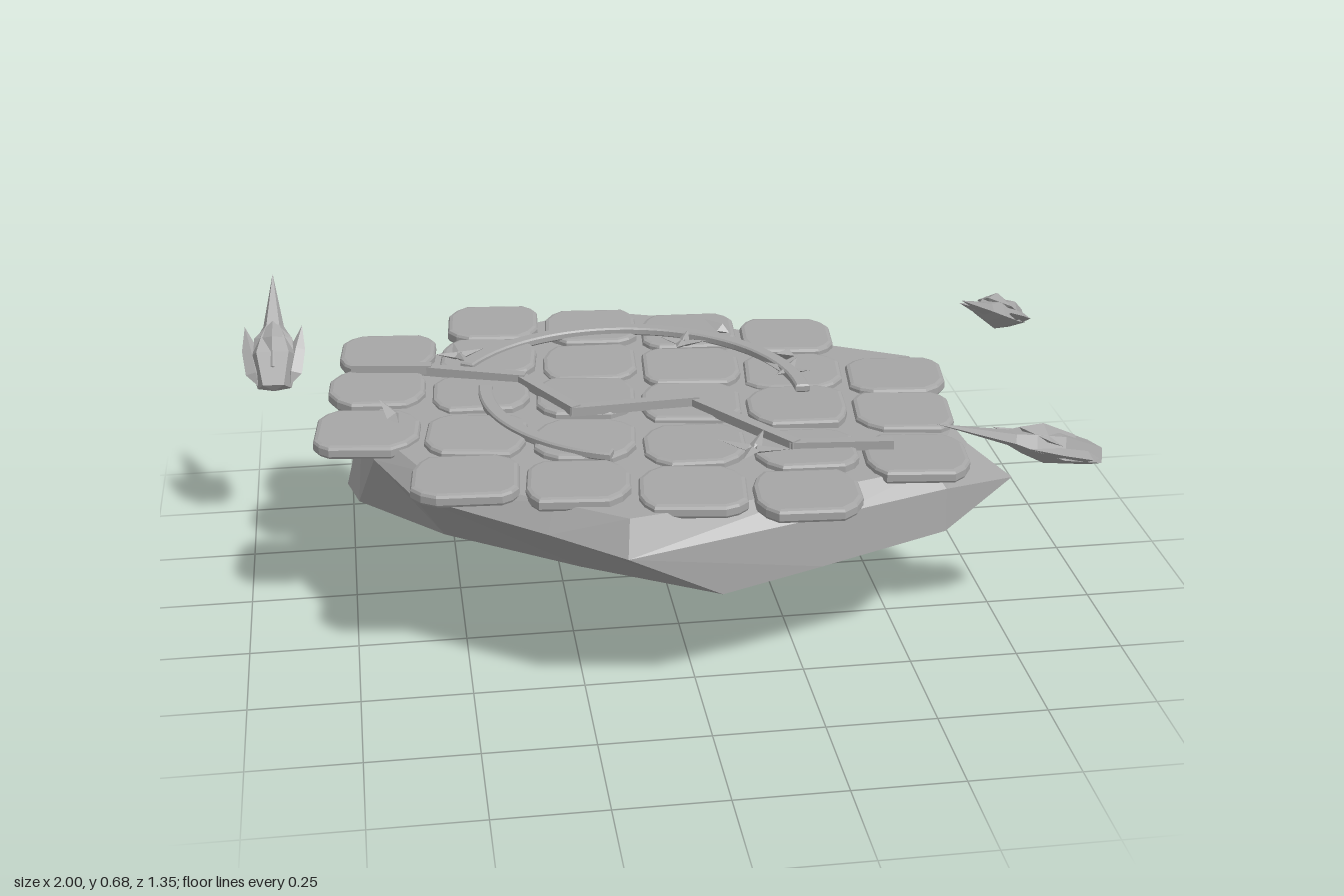
import * as THREE from 'three';

const stone = new THREE.MeshStandardMaterial({ color: 0xa6a6a6 });
stone.name = 'grey stone';

let seed = 7;
const rand = () => (seed = (seed * 16807) % 2147483647) / 2147483647;
const V = (x, y, z) => new THREE.Vector3(x, y, z);
const UP = V(0, 1, 0);

// flat-faced mesh
function add(parent, name, geometry) {
  const g = geometry.index ? geometry.toNonIndexed() : geometry;
  g.computeVertexNormals();
  const m = new THREE.Mesh(g, stone);
  m.name = name;
  parent.add(m);
  return m;
}

// height of the gently sloping top surface
const ground = (x) => 0.474 - 0.018 * x;

// upper lip of the island
const LIP = [
  [0.68, 0.42, 0.24], [0.57, 0.42, 0.47], [0.3, 0.42, 0.56], [-0.17, 0.4, 0.67],
  [-0.33, 0.42, 0.57], [-0.61, 0.44, 0.38], [-0.69, 0.45, 0.2], [-0.71, 0.45, -0.06],
  [-0.56, 0.45, -0.33], [-0.36, 0.44, -0.5], [-0.12, 0.41, -0.62], [0.1, 0.42, -0.55],
  [0.4, 0.43, -0.35], [0.68, 0.42, -0.21], [0.65, 0.42, 0],
].map((p) => V(...p));

// lower corners where the underside begins
const RIM = [
  [0.78, 0.345, 0.28], [0.57, 0.32, 0.48], [0.27, 0.305, 0.58], [0.04, 0.28, 0.63],
  [-0.25, 0.28, 0.46], [-0.54, 0.28, 0.26], [-0.73, 0.28, 0.06], [-0.755, 0.28, -0.04],
  [-0.55, 0.3, -0.31], [-0.36, 0.31, -0.5], [-0.11, 0.32, -0.68], [0.11, 0.34, -0.58],
  [0.42, 0.36, -0.36], [0.7, 0.36, -0.22], [0.66, 0.35, 0],
].map((p) => V(...p));

// floating rock: stacked rings from the top centre down to the tip
function rock() {
  const top = LIP.map((p) => V(p.x * 0.95, ground(p.x), p.z * 0.94));
  const low = RIM.map((p) => {
    const a = Math.atan2(p.z - 0.02, p.x - 0.19) + 0.2;
    return V(0.19 + 0.22 * Math.cos(a), 0.055 - 0.01 * Math.sin(a), 0.01 + 0.13 * Math.sin(a));
  });
  const mid = RIM.map((p, i) => {
    const m = low[i].clone().lerp(p, 0.36 + 0.04 * ((i % 3) - 1));
    if (p.z < 0) m.y += 0.035;
    else if (p.x < 0) m.y += 0.02;
    return m;
  });
  const rings = [
    RIM.map(() => V(0, ground(0), 0)), top, LIP, RIM, mid, low,
    RIM.map(() => V(0.19, 0, 0.02)),
  ];
  const pos = [];
  const tri = (...pts) => pts.forEach((p) => pos.push(p.x, p.y, p.z));
  for (let r = 0; r < rings.length - 1; r++) {
    const a = rings[r], b = rings[r + 1];
    const flip = r === 2; // slanted facets between lip and rim
    for (let i = 0; i < RIM.length; i++) {
      const j = (i + 1) % RIM.length;
      if (r > 0) tri(a[i], a[j], flip ? b[i] : b[j]);
      if (r < rings.length - 2) tri(flip ? a[j] : a[i], b[j], b[i]);
    }
  }
  const g = new THREE.BufferGeometry();
  g.setAttribute('position', new THREE.Float32BufferAttribute(pos, 3));
  return g;
}

// bevelled paving slab with cut corners
function slab() {
  const w = 0.102 + rand() * 0.005, h = 0.09 + rand() * 0.006;
  const s = new THREE.Shape();
  const cut = () => 0.03 + rand() * 0.035;
  const pts = [];
  for (const [sx, sy] of [[1, 1], [-1, 1], [-1, -1], [1, -1]]) {
    const c = cut(), d = cut() * 0.8;
    const side = [sx * w, sy * (h - c)], cap = [sx * (w - d), sy * h];
    const between = [sx * (w - d * 0.4), sy * (h - c * 0.4)];
    pts.push(...(sx * sy > 0 ? [side, between, cap] : [cap, between, side]));
  }
  s.setFromPoints(pts.map((p) => new THREE.Vector2(...p)));
  const g = new THREE.ExtrudeGeometry(s, {
    depth: 0.016, bevelSize: 0.011, bevelThickness: 0.008, bevelSegments: 2,
  });
  return g.rotateX(-Math.PI / 2);
}

// flat curved band lying on the paving
function band(cx, cz, r, from, to) {
  const s = new THREE.Shape();
  s.absarc(0, 0, r + 0.013, from, to, false);
  s.absarc(0, 0, r - 0.013, to, from, true);
  const g = new THREE.ExtrudeGeometry(s, {
    depth: 0.012, bevelSize: 0.004, bevelThickness: 0.004, bevelSegments: 1, curveSegments: 28,
  });
  return g.rotateX(-Math.PI / 2).translate(cx, ground(cx) + 0.018, cz);
}

// faceted spike running from tail to tip; profile holds [radius, position along axis]
function spike(parent, name, tail, tip, profile, flat = 0.65, sides = 5) {
  const dir = tip.clone().sub(tail);
  const len = dir.length();
  const pts = profile.map(([r, t]) => new THREE.Vector2(r, t * len));
  const m = add(parent, name, new THREE.LatheGeometry(pts, sides).scale(1, 1, flat));
  const y = dir.normalize();
  const x = V(0, 1, 0).cross(y).normalize();
  m.quaternion.setFromRotationMatrix(new THREE.Matrix4().makeBasis(x, y, x.clone().cross(y)));
  m.position.copy(tail);
}

// hovering crystal: long spike, chunky body and two swept side fins
function crystal(parent, name, tail, tip, width) {
  const g = new THREE.Group();
  g.name = name;
  parent.add(g);
  spike(g, 'crystalSpike', tail, tip,
    [[0, 0], [width * 0.65, 0.03], [width, 0.3], [width * 0.7, 0.45], [width * 0.4, 0.55], [0, 1]]);
  const axis = tip.clone().sub(tail);
  const across = UP.clone().cross(axis).normalize();
  for (const s of [-1, 1]) {
    const at = (t, off) => tail.clone().addScaledVector(axis, t).addScaledVector(across, off * s * width);
    spike(g, 'crystalFin', at(0.05, 0.6), at(0.55, 1.05),
      [[0, 0], [width * 0.35, 0.2], [width * 0.3, 0.6], [0, 1]], 0.6, 4);
  }
  const drop = tail.clone().addScaledVector(axis, 0.1);
  spike(g, 'crystalPlate', drop, drop.clone().addScaledVector(axis, 0.4).add(V(0, 0.03, 0)),
    [[0, 0], [width * 0.75, 0.2], [width * 0.7, 0.7], [0, 1]], 0.6, 4);
}

export function createModel() {
  const model = new THREE.Group();
  model.name = 'floatingIsland';
  add(model, 'rock', rock());

  // paving rows: first slab x, z, then count
  const paving = new THREE.Group();
  paving.name = 'paving';
  model.add(paving);
  const rows = [[-0.37, -0.49, 4], [-0.64, -0.315, 6], [-0.672, -0.105, 6], [-0.7, 0.138, 6], [-0.495, 0.41, 4]];
  for (const [x0, z0, n] of rows) {
    for (let i = 0; i < n; i++) {
      const x = x0 + i * 0.243, z = z0 + i * 0.052;
      const m = add(paving, 'slab', slab());
      m.position.set(x, ground(x) - 0.009 + rand() * 0.005, z);
      m.rotation.set((rand() - 0.5) * 0.03, -0.1 + (rand() - 0.5) * 0.08, (rand() - 0.5) * 0.03);
    }
  }

  // curved bands
  add(model, 'largeArc', band(-0.1, 0.04, 0.425, -0.02, 2.55));
  add(model, 'smallArc', band(-0.02, -0.02, 0.4, 3.05, 4.33));

  // zigzag rib across the paving
  const path = [[-0.72, -0.2], [-0.55, -0.175], [-0.33, -0.095], [-0.225, 0.1], [0.06, 0.08], [0.245, 0.345], [0.46, 0.365]];
  for (let i = 0; i < path.length - 1; i++) {
    const [ax, az] = path[i], [bx, bz] = path[i + 1];
    const m = add(model, 'zigzagRib', new THREE.BoxGeometry(Math.hypot(bx - ax, bz - az) + 0.02, 0.022, 0.026));
    m.position.set((ax + bx) / 2, ground((ax + bx) / 2) + 0.024, (az + bz) / 2);
    m.rotation.y = -Math.atan2(bz - az, bx - ax);
  }

  // small star-shaped splinters
  for (const [x, z, size] of [[-0.47, -0.24, 0.06], [0.085, -0.27, 0.06], [0.31, -0.07, 0.06], [0.15, 0.37, 0.085]]) {
    const c = V(x, ground(x) + 0.028, z);
    for (let k = 0; k < 4; k++) {
      const a = k * Math.PI / 2 + 0.3 + x;
      const tip = c.clone().add(V(Math.cos(a) * size, 0.012, Math.sin(a) * size));
      spike(model, 'starSplinter', c, tip, [[0, 0], [0.016, 0.12], [0, 1]], 0.6, 4);
    }
  }

  // loose chips above the paving and on the underside
  const chips = [
    [-0.63, 0.55, 0.23, -0.04, 0.045, -0.035], [0.19, 0.55, -0.2, -0.055, 0.02, -0.05],
    [0.33, 0.525, -0.1, -0.055, 0.03, 0.06], [0.44, 0.19, -0.25, 0.02, 0.06, 0.03],
    [-0.28, 0.18, -0.24, -0.05, 0.03, -0.05],
  ];
  for (const [x, y, z, dx, dy, dz] of chips) {
    spike(model, 'chip', V(x, y, z), V(x + dx, y + dy, z + dz), [[0, 0], [0.02, 0.3], [0, 1]], 0.7, 4);
  }

  // hovering crystals
  crystal(model, 'leftFrontCrystal', V(0.935, 0.45, 0.4), V(0.51, 0.627, 0.57), 0.066);
  crystal(model, 'leftBackCrystal', V(0.985, 0.45, -0.45), V(0.76, 0.62, -0.155), 0.066);
  crystal(model, 'rightBackCrystal', V(-0.92, 0.44, -0.25), V(-0.91, 0.675, -0.435), 0.066);
  return model;
}
